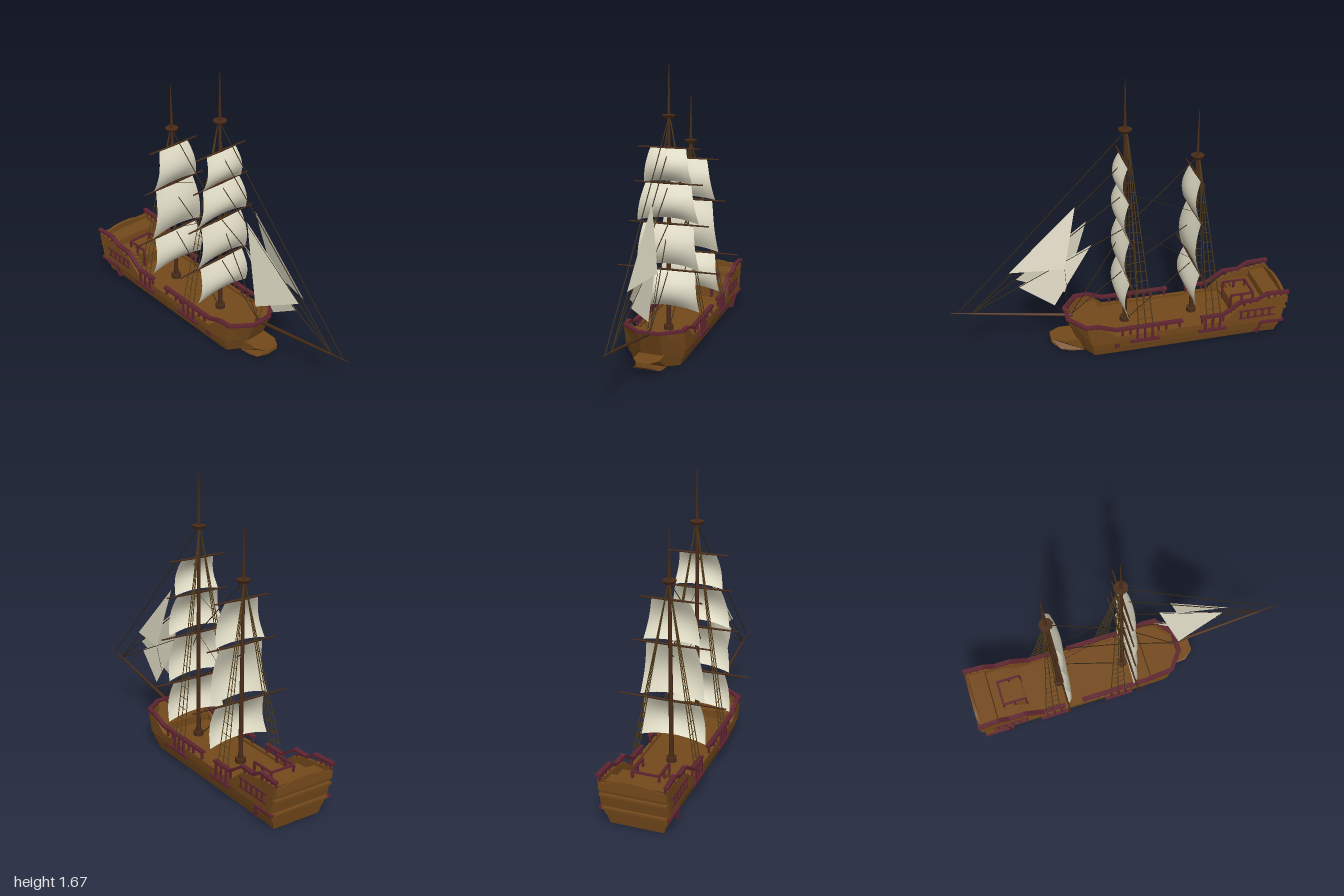
import * as THREE from 'three';

const mat = (name, color, side = THREE.FrontSide) => {
  const m = new THREE.MeshStandardMaterial({ color, side });
  m.name = name;
  return m;
};

export function createModel() {
  const ship = new THREE.Group();
  ship.name = 'sailingShip';
  const wood = mat('hullWood', 0x74491b, THREE.DoubleSide);
  wood.flatShading = true;
  const red = mat('railRed', 0x5e2430);
  const spar = mat('sparWood', 0x4a2c18);
  const rope = mat('rope', 0x3a2b18);
  const ladder = mat('shroudRope', 0x56401c);
  const canvas = mat('sailCanvas', 0xdedac4, THREE.DoubleSide);

  const V = (x, y, z) => new THREE.Vector3(x, y, z);
  const add = (geo, material, name, parent = ship) => {
    const m = new THREE.Mesh(geo, material);
    m.name = name;
    parent.add(m);
    return m;
  };
  const group = (name) => {
    const g = new THREE.Group();
    g.name = name;
    ship.add(g);
    return g;
  };
  const box = (w, h, d, x, y, z, material, name, parent) => {
    const m = add(new THREE.BoxGeometry(w, h, d), material, name, parent);
    m.position.set(x, y, z);
    return m;
  };
  // square bar between two points
  const bar = (a, b, w, h, material, name, parent) => {
    const m = add(new THREE.BoxGeometry(w, h, a.distanceTo(b) + w * 0.5), material, name, parent);
    m.position.copy(a).add(b).multiplyScalar(0.5);
    m.lookAt(b);
    return m;
  };
  // round rod between two points
  const rod = (a, b, r0, r1, material, name, parent, sides = 5) => {
    const m = add(new THREE.CylinderGeometry(r1, r0, a.distanceTo(b), sides), material, name, parent);
    m.position.copy(a).add(b).multiplyScalar(0.5);
    m.quaternion.setFromUnitVectors(V(0, 1, 0), b.clone().sub(a).normalize());
    return m;
  };

  // Hull: stations of z, width factor, bulwark top, deck height
  const stations = [
    [-0.985, 1.04, 0.275, 0.245], [-0.87, 1, 0.265, 0.245], [-0.87, 1, 0.265, 0.2],
    [-0.75, 1, 0.24, 0.2], [-0.75, 1, 0.24, 0.125], [-0.69, 1, 0.22, 0.125],
    [-0.6, 1, 0.142, 0.125], [0.075, 1, 0.142, 0.125], [0.12, 1, 0.178, 0.125],
    [0.12, 1, 0.178, 0.172], [0.17, 1, 0.217, 0.172], [0.24, 0.98, 0.217, 0.172],
    [0.31, 0.5, 0.217, 0.172], [0.335, 0.34, 0.217, 0.172]];
  const section = ([z, f, top, deck]) => [
    [0, 0], [0.143, 0], [0.157, 0.05], [0.164, 0.05], [0.174, 0.1], [0.181, 0.1],
    [0.183, top], [0.165, top], [0.165, deck], [0, deck]].map(([x, y]) => {
    const bow = Math.max(0, (z - 0.1) / 0.235) * 0.085 * (1 - y / 0.217);
    const stern = Math.max(0, (-0.8 - z) / 0.185) * 0.05 * (1 - y / 0.275);
    return V(x * f, y, z - bow + stern);
  });
  const pos = [];
  const quad = (...q) => [0, 1, 2, 0, 2, 3].forEach((k) => pos.push(q[k].x, q[k].y, q[k].z));
  const flip = (p) => V(-p.x, p.y, p.z);
  const rows = stations.map(section);
  for (let i = 0; i < rows.length - 1; i++) {
    for (let j = 0; j < rows[i].length - 1; j++) {
      const q = [rows[i][j], rows[i][j + 1], rows[i + 1][j + 1], rows[i + 1][j]];
      quad(...q);
      quad(...q.map(flip).reverse());
    }
  }
  const first = rows[0], last = rows[rows.length - 1];
  for (let j = 1; j < 6; j++) {
    quad(flip(last[j]), last[j], last[j + 1], flip(last[j + 1]));
    quad(first[j], flip(first[j]), flip(first[j + 1]), first[j + 1]);
  }
  const hullGeo = new THREE.BufferGeometry();
  hullGeo.setAttribute('position', new THREE.Float32BufferAttribute(pos, 3));
  hullGeo.computeVertexNormals();
  add(hullGeo, wood, 'hull');

  // Beak at the waterline, narrowing forward
  const beakShape = new THREE.Shape([[0.24, 0], [0.32, 0.008], [0.38, 0.03], [0.43, 0.06], [0.43, 0.085], [0.37, 0.083], [0.27, 0.083]]
    .map(([z, y]) => new THREE.Vector2(z, y)));
  const beakGeo = new THREE.ExtrudeGeometry(beakShape, { depth: 0.15, bevelEnabled: false });
  beakGeo.translate(0, 0, -0.075).rotateY(-Math.PI / 2);
  const bp = beakGeo.attributes.position;
  for (let i = 0; i < bp.count; i++) if (bp.getZ(i) > 0.4) bp.setX(i, bp.getX(i) * 0.5);
  beakGeo.computeVertexNormals();
  add(beakGeo, wood, 'beak');

  // Arched stern board
  const arch = new THREE.Shape();
  arch.moveTo(-0.185, 0.22);
  arch.lineTo(0.185, 0.22);
  arch.lineTo(0.185, 0.262);
  arch.bezierCurveTo(0.1, 0.262, 0.1, 0.285, 0, 0.285);
  arch.bezierCurveTo(-0.1, 0.285, -0.1, 0.262, -0.185, 0.262);
  const board = add(new THREE.ExtrudeGeometry(arch, { depth: 0.018, bevelEnabled: false }), wood, 'sternBoard');
  board.position.z = -0.99;
  box(0.37, 0.012, 0.02, 0, 0.185, -0.975, wood, 'sternMoulding');
  box(0.36, 0.012, 0.02, 0, 0.1, -0.96, wood, 'sternMoulding');

  // Rails, posts, channels and stern trim on each side
  const trim = group('railings');
  for (const s of [1, -1]) {
    const path = (pts, w, h, name) => {
      for (let i = 0; i < pts.length - 1; i++) {
        bar(V(s * pts[i][0], pts[i][1], pts[i][2]), V(s * pts[i + 1][0], pts[i + 1][1], pts[i + 1][2]), w, h, red, name, trim);
      }
    };
    path([[0.06, 0.225, 0.33], [0.17, 0.225, 0.245], [0.175, 0.225, 0.17], [0.175, 0.188, 0.075], [0.175, 0.188, -0.33]], 0.026, 0.014, 'foreRail');
    path([[0.175, 0.188, -0.455], [0.175, 0.188, -0.59], [0.175, 0.262, -0.7], [0.175, 0.262, -0.8], [0.178, 0.298, -0.86], [0.185, 0.298, -0.987]], 0.026, 0.014, 'aftRail');
    const post = (x, y0, y1, z) => box(0.012, y1 - y0, 0.012, s * x, (y0 + y1) / 2, z, red, 'railPost', trim);
    for (const z of [0.03, -0.02, -0.19, -0.235, -0.32, -0.46, -0.61 + 0.02]) post(0.175, 0.135, 0.185, z);
    for (const z of [-0.72, -0.76, -0.8]) post(0.175, 0.22, 0.26, z);
    for (const z of [-0.87, -0.91, -0.95, -0.98]) post(0.178, 0.26, 0.295, z);
    // shroud channels with deadeye posts
    for (const z of [-0.105, -0.522]) {
      box(0.024, 0.014, 0.175, s * 0.187, 0.1, z, red, 'channel', trim);
      for (const d of [0.045, 0, -0.045]) post(0.187, 0.1, 0.19, z + d);
    }
    // quarter gallery frame and lower stern wale
    for (let k = 0; k < 5; k++) post(0.182, 0.145, 0.195, -0.7 - k * 0.045);
    bar(V(s * 0.183, 0.145, -0.69), V(s * 0.183, 0.145, -0.91), 0.01, 0.008, red, 'galleryFrame', trim);
    bar(V(s * 0.184, 0.197, -0.69), V(s * 0.184, 0.197, -0.91), 0.01, 0.008, red, 'galleryFrame', trim);
    path([[0.165, 0.03, -0.8], [0.175, 0.03, -0.815], [0.187, 0.1, -0.83], [0.187, 0.1, -0.965]], 0.02, 0.014, 'sternWale');
    box(0.012, 0.026, 0.028, s * 0.17, 0.07, 0.06, red, 'hullPort', trim);
    // stairs and handrails to the quarterdeck
    for (let k = 0; k < 4; k++) box(0.08, 0.018 * (k + 1), 0.02, s * 0.125, 0.125 + 0.009 * (k + 1), -0.68 - k * 0.02, wood, 'stair', trim);
    path([[0.075, 0.245, -0.81], [0.075, 0.245, -0.67]], 0.012, 0.01, 'hatchRail');
    for (const z of [-0.67, -0.74, -0.81]) post(0.075, z > -0.75 ? 0.125 : 0.2, 0.245, z);
  }
  bar(V(-0.075, 0.245, -0.81), V(0.075, 0.245, -0.81), 0.012, 0.01, red, 'hatchRail', trim);
  bar(V(-0.06, 0.225, 0.33), V(0.06, 0.225, 0.33), 0.026, 0.014, red, 'bowRail', trim);
  box(0.15, 0.075, 0.08, 0, 0.162, -0.71, wood, 'quarterdeckStep');

  // Square sail billowing forward, with an arched foot
  const squareSail = (yTop, wTop, yBot, wBot, z, rise, parent) => {
    const g = new THREE.PlaneGeometry(2, 1, 12, 10);
    const p = g.attributes.position;
    for (let i = 0; i < p.count; i++) {
      const u = p.getX(i), v = 0.5 - p.getY(i);
      const belly = Math.sin(Math.PI * Math.min(1, v * 0.94));
      const w = wTop + (wBot - wTop) * Math.pow(v, 0.85);
      p.setXYZ(i, u * w, yTop + (yBot - yTop) * v + rise * v * v * (1 - u * u), z + belly * (0.033 + 0.02 * (1 - u * u)));
    }
    g.computeVertexNormals();
    add(g, canvas, 'squareSail', parent);
  };

  // Masts: yards are [height, half width], sails are [top, half width, foot, half width]
  const buildMast = (name, z, collar, top, yards, sails) => {
    const g = group(name);
    rod(V(0, 0.12, z), V(0, collar, z), 0.014, 0.009, spar, 'lowerMast', g, 10);
    rod(V(0, collar, z), V(0, top, z), 0.009, 0.002, spar, 'topMast', g, 8);
    rod(V(0, collar - 0.009, z), V(0, collar + 0.009, z), 0.03, 0.04, spar, 'lookout', g, 8);
    rod(V(0, 0.125, z), V(0, 0.152, z), 0.03, 0.03, spar, 'mastFoot', g, 8);
    for (const [y, w] of yards) {
      for (const s of [1, -1]) rod(V(0, y, z + 0.008), V(s * w, y, z + 0.008), 0.007, 0.004, spar, 'yard', g, 6);
    }
    sails.forEach(([a, b, c, d], i) => squareSail(a, b, c, d, z + 0.01, i ? 0.03 : 0.015, g));
    // shrouds and ratlines
    const head = collar - 0.02;
    for (const s of [1, -1]) {
      const at = (k, y) => {
        const t = (y - 0.18) / (head - 0.18);
        return V(s * (0.182 * (1 - t) + 0.006 * t), y, z - (0.04 + k * 0.045) * (1 - t) - 0.012 * t);
      };
      for (let k = 0; k < 3; k++) rod(at(k, 0.18), at(k, head), 0.003, 0.003, ladder, 'shroud', g, 4);
      for (let y = 0.24; y < head - 0.2; y += 0.06) rod(at(0, y), at(2, y), 0.002, 0.002, ladder, 'ratline', g, 4);
    }
  };
  const zMain = -0.025, zAft = -0.443;
  buildMast('mainMast', zMain, 1.375, 1.67, [[0.49, 0.31], [0.762, 0.24], [0.998, 0.203], [1.2, 0.182]],
    [[1.2, 0.105, 1.0, 0.143], [0.995, 0.135, 0.772, 0.185], [0.76, 0.15, 0.5, 0.187], [0.488, 0.162, 0.25, 0.192]]);
  buildMast('aftMast', zAft, 1.172, 1.45, [[0.49, 0.31], [0.818, 0.222], [1.07, 0.176]],
    [[1.07, 0.105, 0.825, 0.16], [0.815, 0.14, 0.5, 0.185], [0.488, 0.162, 0.25, 0.192]]);

  // Bowsprit
  rod(V(0, 0.212, 0.29), V(0, 0.318, 0.877), 0.011, 0.006, spar, 'bowsprit', ship, 8);
  rod(V(0, 0.318, 0.87), V(0, 0.34, 1.0), 0.005, 0.002, spar, 'bowspritTip', ship, 6);

  // Stays along the centreline: from [y, z] to [y, z], radius
  const rigging = group('rigging');
  const stays = [
    [1.37, zMain, 0.335, 0.957, 0.003], [1.195, zMain, 0.32, 0.877, 0.003], [0.99, zMain, 0.32, 0.877, 0.003],
    [0.765, zMain, 0.32, 0.877, 0.003], [0.765, zMain, 0.22, 0.3, 0.003], [0.49, zMain, 0.22, 0.3, 0.003],
    [1.17, zAft, 0.765, zMain, 0.003], [0.765, zAft, 0.49, zMain, 0.003], [0.49, zAft, 0.15, -0.06, 0.003],
    [0.99, zMain, 0.815, zAft, 0.0013], [0.755, zMain, 0.495, zAft, 0.0013]];
  for (const [y0, z0, y1, z1, r] of stays) rod(V(0, y0, z0), V(0, y1, z1), r, r, rope, 'stay', rigging, 4);

  // Three-cornered headsails: head, tack and clew
  const jibs = [
    [V(0, 0.94, 0.262), V(0, 0.56, 0.652), V(0.057, 0.575, 0.34)],
    [V(0, 0.84, 0.2), V(0, 0.513, 0.62), V(-0.045, 0.35, 0.326)],
    [V(0, 0.68, 0.172), V(0, 0.46, 0.604), V(0.025, 0.315, 0.4)]];
  for (const jib of jibs) {
    const g = new THREE.BufferGeometry().setFromPoints(jib);
    g.computeVertexNormals();
    add(g, canvas, 'headsail', rigging);
    rod(jib[2], V(0, 0.215, 0.31), 0.0012, 0.0012, rope, 'sheet', rigging, 4);
  }
  return ship;
}
